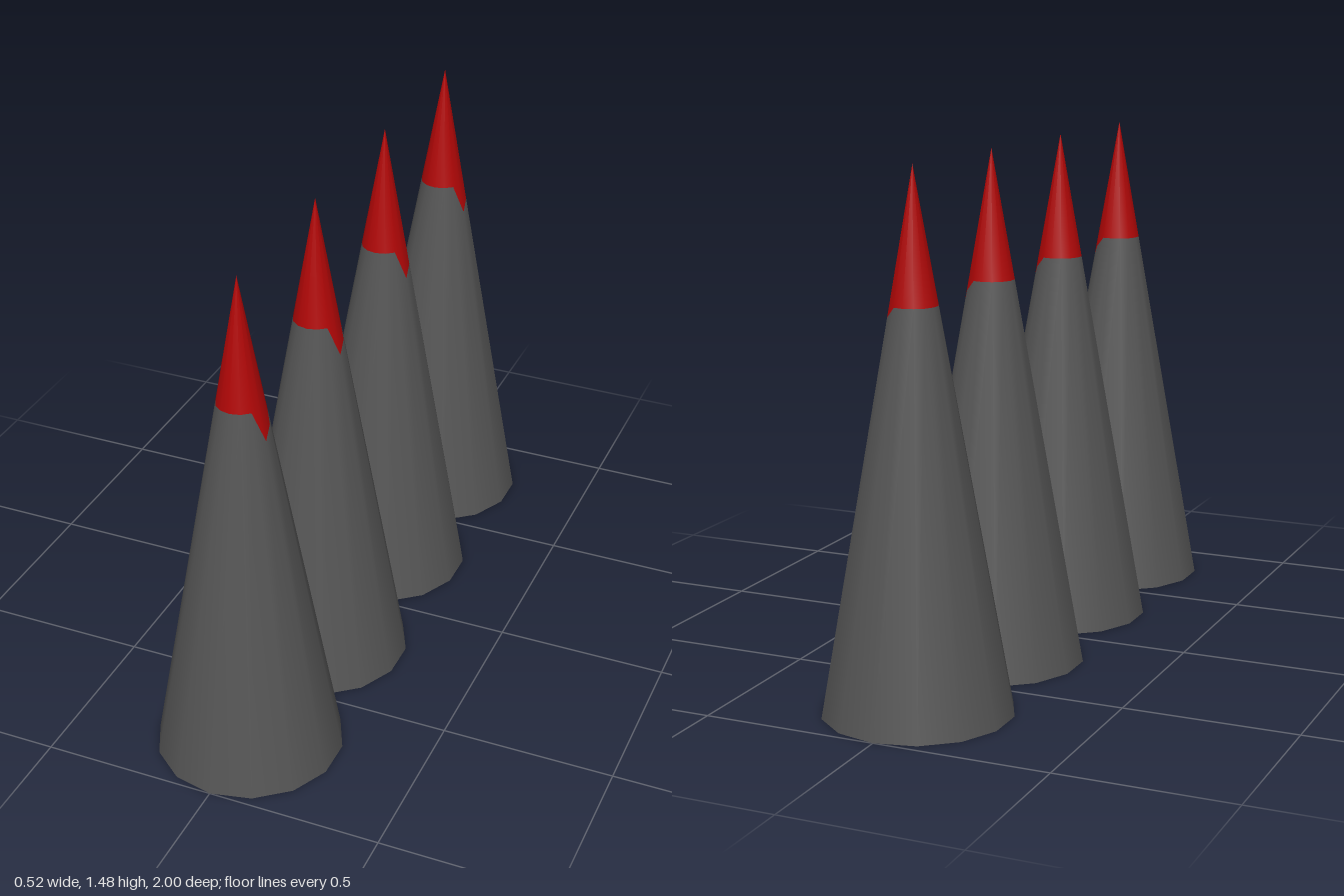
import * as THREE from 'three';

const SIDES = 14, RADIUS = 0.265, HEIGHT = 1.477;
// height of the colour boundary at each corner; it dips on the +x side
const SEAM = { 3: 1.02, 4: 1.05, 5: 1.08 };
const seamHeight = (i) => SEAM[i % SIDES] ?? 1.11;

// Open band of the cone between two heights given per corner
function coneBand(bottomAt, topAt) {
  // a tiny top radius keeps both triangles of every side
  const geo = new THREE.CylinderGeometry(0.001, RADIUS, HEIGHT, SIDES, 1, true);
  const pos = geo.attributes.position;
  for (let v = 0; v < pos.count; v++) {
    const i = v % (SIDES + 1);
    const y = v <= SIDES ? topAt(i) : bottomAt(i);
    const r = RADIUS * (1 - y / HEIGHT);
    const a = (i / SIDES) * Math.PI * 2;
    pos.setXYZ(v, r * Math.sin(a), y, r * Math.cos(a));
  }
  return geo;
}

export function createModel() {
  const model = new THREE.Group();
  model.name = 'spikeRow';
  const grey = new THREE.MeshStandardMaterial({ color: 0x555555 });
  const red = new THREE.MeshStandardMaterial({ color: 0xb00606 });

  const bodyGeo = coneBand(() => 0, seamHeight);
  const tipGeo = coneBand(seamHeight, () => HEIGHT);
  // base disc, facing down, corners matching the cone
  const baseGeo = new THREE.CircleGeometry(RADIUS, SIDES, Math.PI / 2).rotateX(Math.PI / 2);

  const add = (group, name, geo, mat) => {
    const mesh = new THREE.Mesh(geo, mat);
    mesh.name = name;
    group.add(mesh);
  };

  // four spikes in a row along z
  [0.735, 0.248, -0.248, -0.735].forEach((z, n) => {
    const spike = new THREE.Group();
    spike.name = `spike${n + 1}`;
    add(spike, 'body', bodyGeo, grey);
    add(spike, 'tip', tipGeo, red);
    add(spike, 'base', baseGeo, grey);
    spike.position.z = z;
    model.add(spike);
  });
  return model;
}
